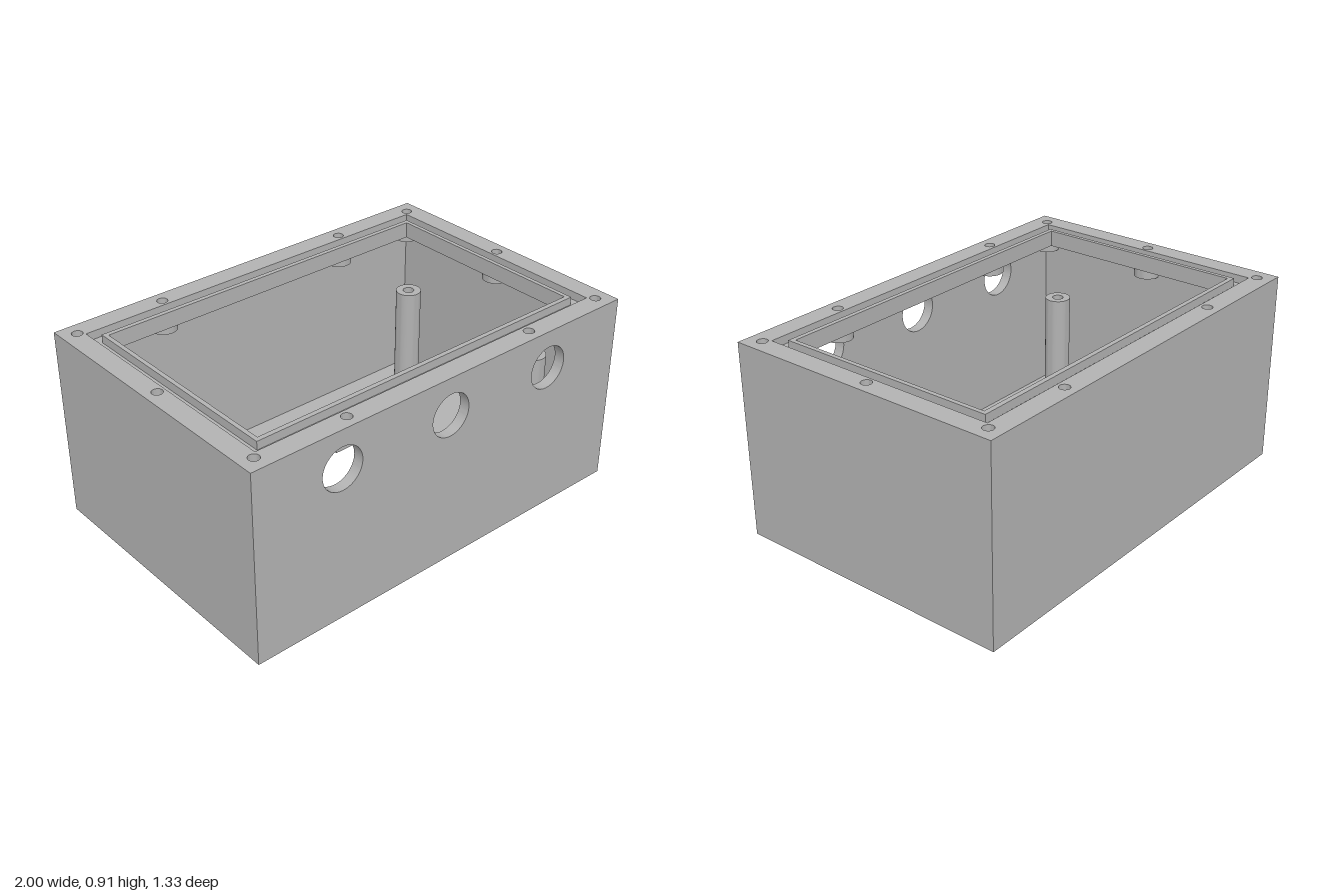
import * as THREE from 'three';
import { toCreasedNormals } from 'three/addons/utils/BufferGeometryUtils.js';

const X = 1, Z = 0.667, H = 0.906;        // half width, half depth, height
const T = 0.05;                           // wall and floor thickness
const LIP = 0.83, GROOVE = 0.868;         // underside of the lip, floor of the seal groove
const CX = X - T, CZ = Z - T;             // cavity half sizes

const corners = (x, z) => [[-x, -z], [x, -z], [x, z], [-x, z]];
const rect = (Kind, x, z) => new Kind(corners(x, z).map(([a, b]) => new THREE.Vector2(a, b)));
const circle = (x, z, r) => new THREE.Path().absarc(x, z, r, 0, Math.PI * 2, true);

export function createModel() {
  const group = new THREE.Group();
  const grey = new THREE.MeshStandardMaterial({ color: 0xb2b2b2 });

  const add = (name, geometry, x = 0, y = 0, z = 0) => {
    const mesh = new THREE.Mesh(geometry, grey);
    mesh.name = name;
    mesh.position.set(x, y, z);
    group.add(mesh);
  };
  const extrude = (shape, depth, holes = []) => {
    shape.holes.push(...holes);
    const g = new THREE.ExtrudeGeometry(shape, { depth, bevelEnabled: false, curveSegments: 32 });
    return toCreasedNormals(g, 0.6);
  };
  // Horizontal plate between two heights
  const plate = (name, shape, y0, y1, holes) =>
    add(name, extrude(shape, y1 - y0, holes).rotateX(-Math.PI / 2), 0, y0, 0);

  // Floor with the window, mounting holes and corner holes
  plate('floor', rect(THREE.Shape, X, Z), 0, T, [
    rect(THREE.Path, 0.597, 0.335),
    ...corners(0.662, 0.412).map(([x, z]) => circle(x, z, 0.024)),
    ...corners(0.893, 0.56).map(([x, z]) => circle(x, z, 0.027)),
  ]);

  // Side and back walls
  const wallHeight = LIP - T, wallY = (LIP + T) / 2;
  for (const s of [-1, 1]) {
    add('sideWall', new THREE.BoxGeometry(T, wallHeight, 2 * CZ), s * (X - T / 2), wallY, 0);
  }
  add('backWall', new THREE.BoxGeometry(2 * X, wallHeight, T), 0, wallY, -Z + T / 2);

  // Front wall with three round ports
  const front = rect(THREE.Shape, X, wallHeight / 2);
  const ports = [-0.57, 0, 0.57].map((x) => circle(x, 0.729 - wallY, 0.1));
  add('frontWall', extrude(front, T, ports), 0, wallY, CZ);

  // Lip: lower ring, outer rim and inner ridge, leaving a seal groove between them
  const screws = [
    ...corners(0.931, 0.597), ...corners(0.5, 0.607), [-0.94, 0], [0.94, 0],
  ];
  const screwHoles = () => screws.map(([x, z]) => circle(x, z, 0.024));
  plate('lip', rect(THREE.Shape, X, Z), LIP, GROOVE,
    [rect(THREE.Path, 0.84, 0.5), ...screwHoles()]);
  plate('outerRim', rect(THREE.Shape, X, Z), GROOVE, H,
    [rect(THREE.Path, 0.905, 0.57), ...screwHoles()]);
  plate('innerRidge', rect(THREE.Shape, 0.86, 0.522), GROOVE, H,
    [rect(THREE.Path, 0.84, 0.5)]);

  // Screw bosses under the lip, cut off where they meet the walls
  const clamp = THREE.MathUtils.clamp;
  for (const [x, z] of screws) {
    const outline = [];
    for (let i = 0; i < 40; i++) {
      const a = (i / 40) * Math.PI * 2;
      outline.push(new THREE.Vector2(
        clamp(x + 0.06 * Math.cos(a), -CX, CX), clamp(z + 0.06 * Math.sin(a), -CZ, CZ)));
    }
    plate('screwBoss', new THREE.Shape(outline), 0.77, LIP);
  }

  // Standoff posts with blind holes
  const profile = [[0.06, T], [0.06, 0.603], [0.026, 0.603], [0.026, 0.4], [0, 0.4]]
    .map(([r, y]) => new THREE.Vector2(r, y));
  const post = toCreasedNormals(new THREE.LatheGeometry(profile, 40), 0.6);
  for (const [x, z] of corners(0.775, 0.406)) add('standoffPost', post, x, 0, z);

  return group;
}
